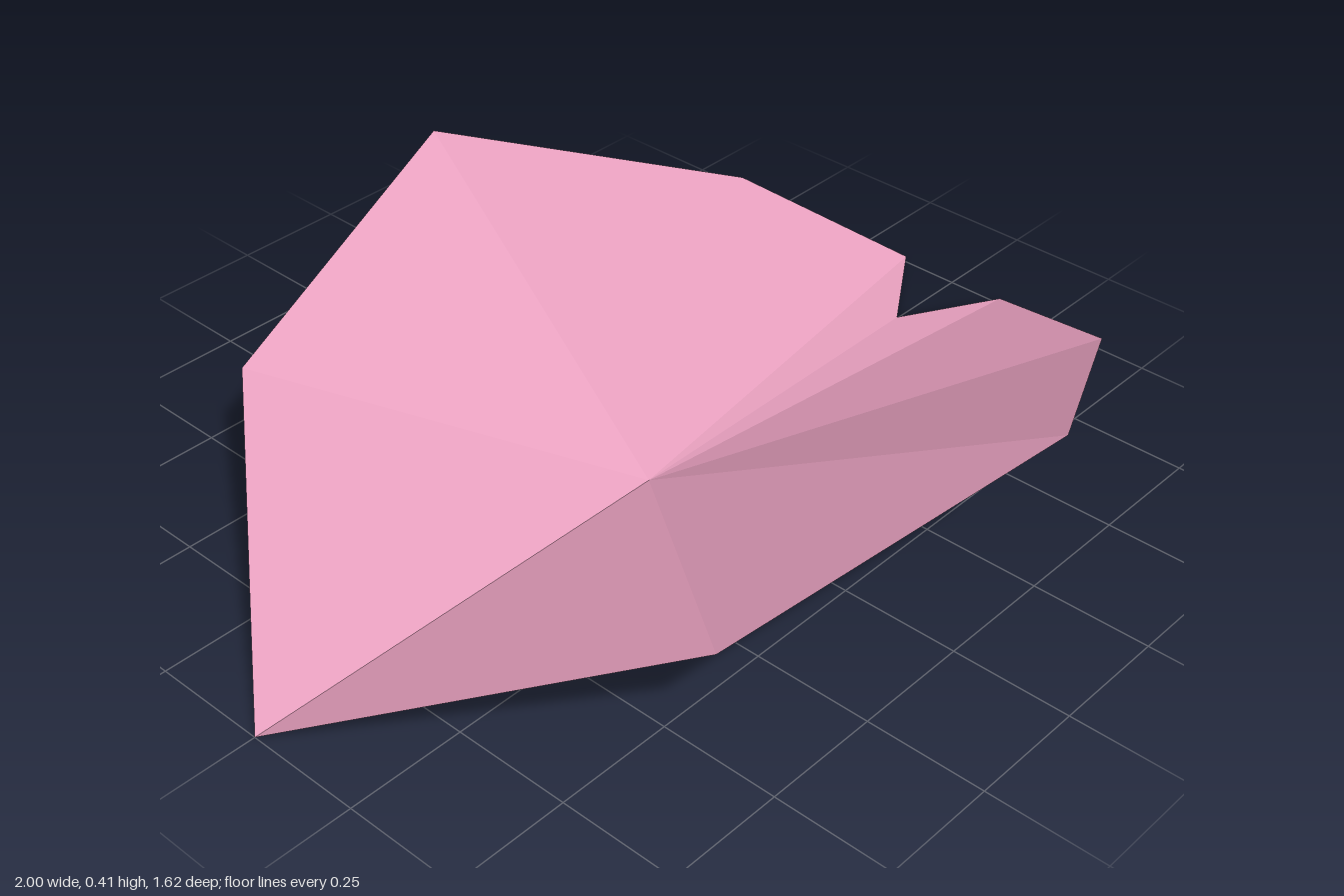
import * as THREE from 'three';

export function createModel() {
  const group = new THREE.Group();
  group.name = 'petal';
  const pink = new THREE.MeshStandardMaterial({ color: 0xe8a0bf, flatShading: true, side: THREE.DoubleSide });
  pink.name = 'petal pink';

  // Outline of one half, from the pointed base to the notch at the tip
  const half = [
    [-1, 0, 0], [-0.5, 0.235, 0.615], [0.2, 0.405, 0.81],
    [0.84, 0.148, 0.487], [1, 0.014, 0.13], [0.8, 0.003, 0],
  ];

  // Fan of facets folded up from the central crease
  const makeHalf = (name, side) => {
    const positions = [];
    for (let i = 0; i < half.length - 1; i++) {
      const corners = side > 0 ? [half[i], half[i + 1]] : [half[i + 1], half[i]];
      positions.push(0, 0, 0);
      for (const [x, y, z] of corners) positions.push(x, y, z * side);
    }
    const geometry = new THREE.BufferGeometry();
    geometry.setAttribute('position', new THREE.Float32BufferAttribute(positions, 3));
    geometry.computeVertexNormals();
    const mesh = new THREE.Mesh(geometry, pink);
    mesh.name = name;
    group.add(mesh);
  };
  makeHalf('frontPetalHalf', 1);
  makeHalf('backPetalHalf', -1);

  return group;
}
